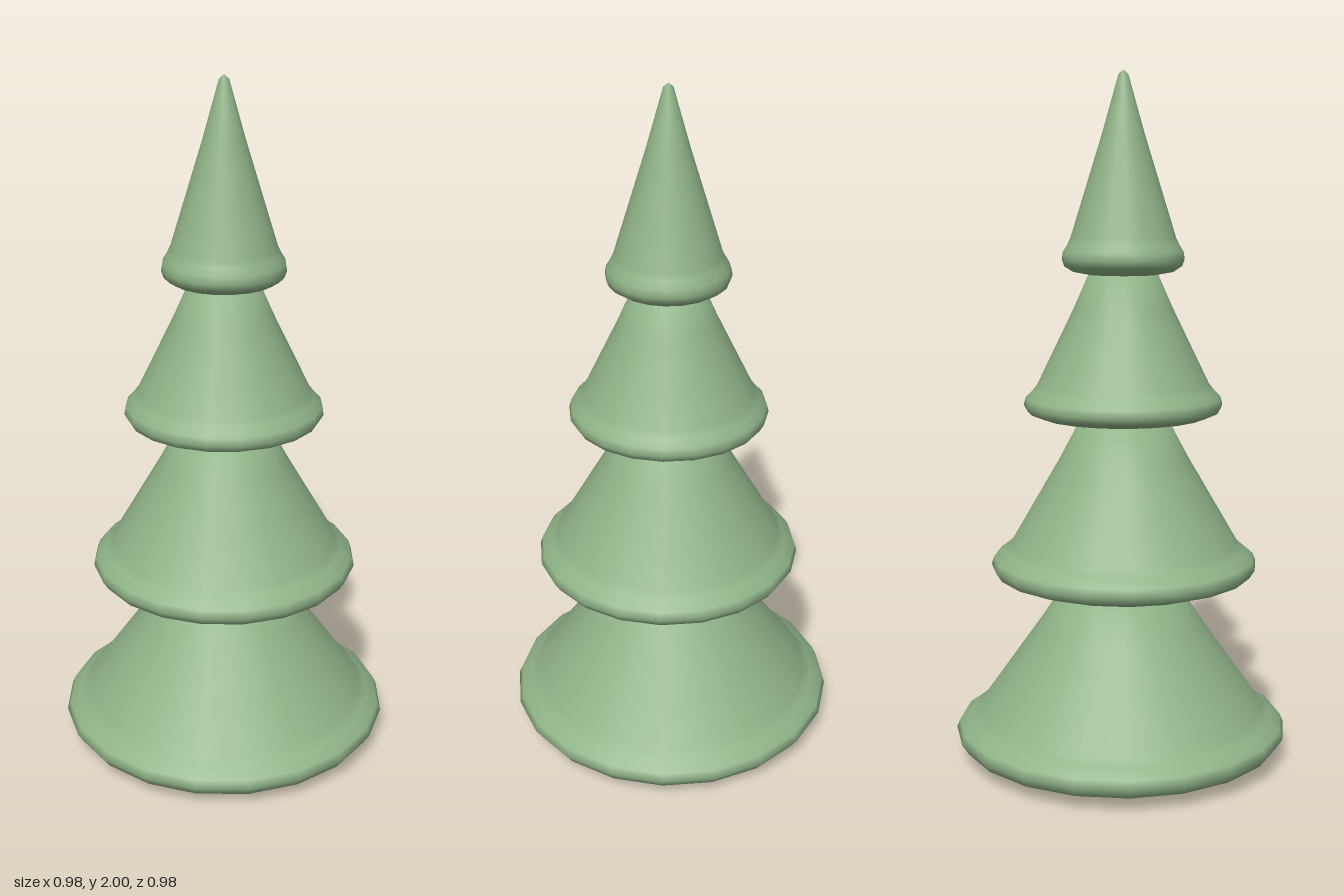
import * as THREE from 'three';

const material = new THREE.MeshStandardMaterial({ color: 0x8fb387, roughness: 0.8 });

// Each tier: rim radius and height, underside height, shoulder, top, and sideways offset
const tiers = [
  { name: 'bottomTier', rim: [0.492, 0.075], base: 0.0, shoulder: [0.425, 0.14], top: [0.15, 0.54], offset: 0 },
  { name: 'lowerMiddleTier', rim: [0.392, 0.575], base: 0.515, shoulder: [0.335, 0.64], top: [0.115, 1.03], offset: 0.008 },
  { name: 'upperMiddleTier', rim: [0.29, 1.05], base: 1.0, shoulder: [0.25, 1.11], top: [0.09, 1.45], offset: 0.006 },
  { name: 'topTier', rim: [0.177, 1.47], base: 1.42, shoulder: [0.152, 1.53], top: [0.014, 1.988], tip: 2.0, offset: 0.006 },
];

// Revolved skirt: shallow domed underside, rolled rim, tapering cone
function makeTier({ name, rim: [r, y], base, shoulder: [sr, sy], top: [tr, ty], tip, offset }) {
  const drop = y - base;
  const points = [
    [0, base],
    [r * 0.5, base + drop * 0.08],
    [r * 0.83, base + drop * 0.3],
    [r * 0.96, base + drop * 0.6],
    [r, y],
    [r * 0.98, y + (sy - y) * 0.35],
    [sr + (r - sr) * 0.35, y + (sy - y) * 0.7],
    [sr, sy],
    [sr + (tr - sr) * 0.33, sy + (ty - sy) * 0.32],
    [sr + (tr - sr) * 0.67, sy + (ty - sy) * 0.65],
    [tr, ty],
    [0, tip ?? ty],
  ].map(([px, py]) => new THREE.Vector2(px, py));
  const mesh = new THREE.Mesh(new THREE.LatheGeometry(points, 20), material);
  mesh.name = name;
  mesh.position.set(offset, 0, offset);
  return mesh;
}

export function createModel() {
  const tree = new THREE.Group();
  tree.name = 'tieredTree';
  for (const tier of tiers) tree.add(makeTier(tier));
  return tree;
}
